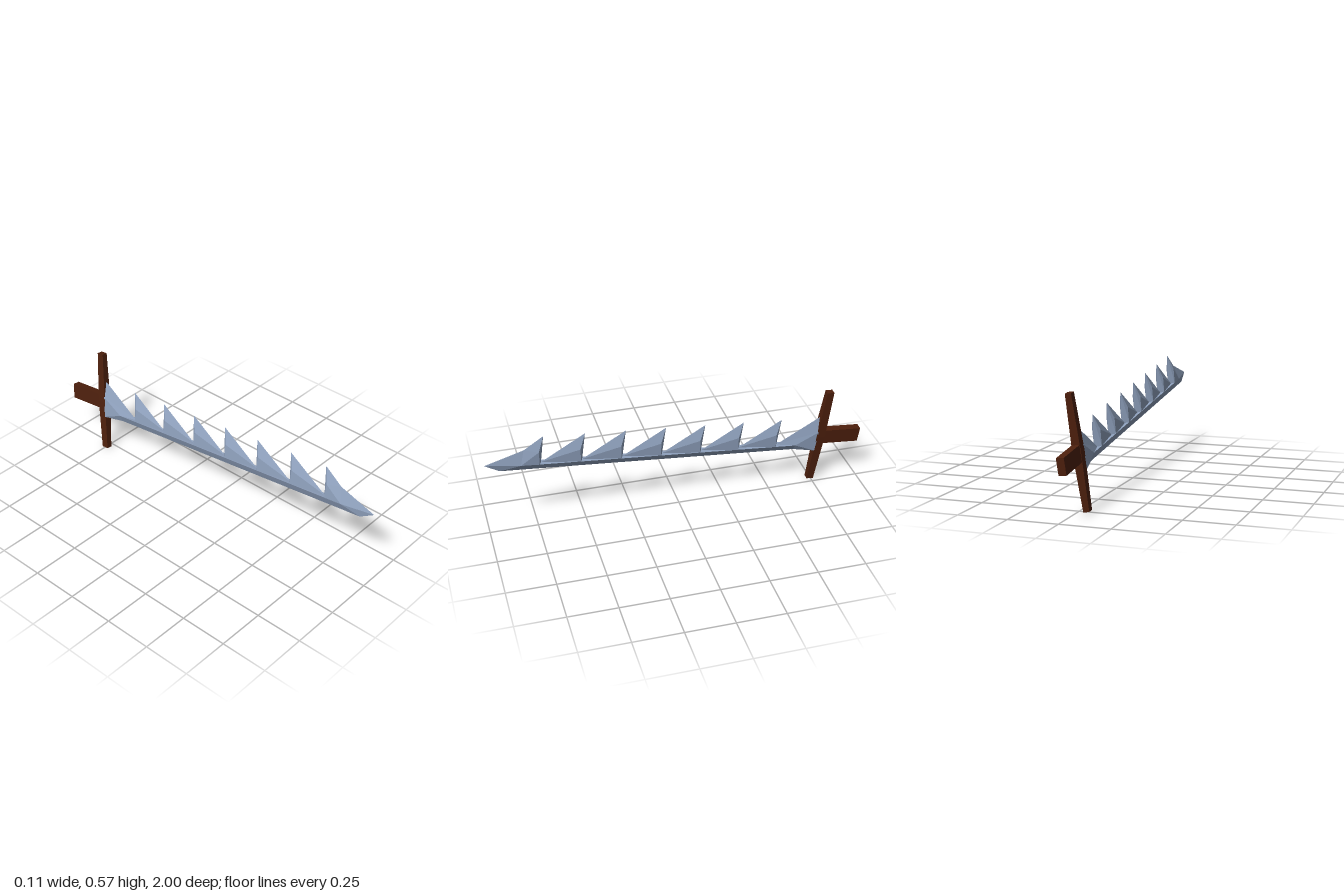
import * as THREE from 'three';

const steel = new THREE.MeshStandardMaterial({ color: 0x8fa1bd });
steel.name = 'blue grey steel';
const wood = new THREE.MeshStandardMaterial({ color: 0x4e200d });
wood.name = 'dark brown wood';

// Builds a flat-faceted mesh from polygons of the +x half, mirrored to -x
function mirroredMesh(name, faces, material) {
  const positions = [];
  for (const face of faces) {
    for (let i = 1; i < face.length - 1; i++) {
      const [a, b, c] = [face[0], face[i], face[i + 1]];
      positions.push(...a, ...b, ...c);
      for (const [x, y, z] of [a, c, b]) positions.push(-x, y, z);
    }
  }
  const geometry = new THREE.BufferGeometry();
  geometry.setAttribute('position', new THREE.Float32BufferAttribute(positions, 3));
  geometry.computeVertexNormals();
  const mesh = new THREE.Mesh(geometry, material);
  mesh.name = name;
  return mesh;
}

const LEDGE = -0.043, EDGE = -0.082; // heights of the tooth roots and the lower edge
const PITCH = 0.2097, FIRST = 1.496, TEETH = 7;

// Corner points of a tooth whose steep back stands at z
const toothPoints = (z) => ({
  peak: [0, 0.119, z],
  mid: [0.021, 0.035, z + 0.02],
  low: [0.02, LEDGE, z + 0.01],
  root: [0, LEDGE, z],
  toe: [0, LEDGE, z + PITCH],
});

function createBlade() {
  const blade = new THREE.Group();
  blade.name = 'blade';

  // Sharp keel running under all the teeth, pointed at the front
  const rear = [0.02, LEDGE, 0.136], front = [0.019, LEDGE, 1.6], tip = [0, LEDGE, 1.78];
  const edgeRear = [0, EDGE, 0.136], edgeFront = [0, EDGE, 1.7];
  blade.add(mirroredMesh('keel', [
    [rear, front, edgeFront, edgeRear],
    [front, tip, edgeFront],
    [[0, LEDGE, 0.136], [0, LEDGE, 1.6], front, rear],
  ], steel));

  // Saw teeth; the first one runs out into the tip
  for (let i = 0; i < TEETH; i++) {
    const { peak, mid, low, root, toe } = toothPoints(FIRST - i * PITCH);
    const back = [peak, mid, low, root];
    const ridge = [0, 0.039, 1.588];
    const sides = i === 0
      ? [[peak, ridge, mid], [mid, ridge, front], [mid, front, low], [ridge, tip, front]]
      : [[peak, toe, mid], [mid, toe, low]];
    blade.add(mirroredMesh(i === 0 ? 'tipTooth' : 'tooth', [back, ...sides], steel));
  }

  // Flared tooth that joins the guard
  const z = 0.018;
  const peak = [0, 0.123, z], mid = [0.021, 0.035, z], heel = [0.021, -0.086, z];
  const toe = [0, LEDGE, FIRST - (TEETH - 1) * PITCH];
  blade.add(mirroredMesh('baseTooth', [
    [peak, toe, mid],
    [mid, toe, rear],
    [mid, rear, heel],
    [rear, edgeRear, heel],
    [heel, edgeRear, [0, -0.086, z]],
  ], steel));
  return blade;
}

// Cross guard, thinner toward both ends
function createGuard() {
  let geometry = new THREE.BoxGeometry(0.043, 0.566, 0.047, 1, 2, 1);
  const p = geometry.attributes.position;
  for (let i = 0; i < p.count; i++) {
    if (Math.abs(p.getY(i)) > 0.1) {
      p.setX(i, p.getX(i) * 0.7);
      p.setZ(i, p.getZ(i) * 0.8);
    }
  }
  geometry = geometry.toNonIndexed();
  geometry.computeVertexNormals();
  const guard = new THREE.Mesh(geometry, wood);
  guard.name = 'crossGuard';
  return guard;
}

function createHandle() {
  const handle = new THREE.Mesh(new THREE.BoxGeometry(0.038, 0.083, 0.207), wood);
  handle.name = 'handle';
  handle.position.z = -0.1185;
  return handle;
}

export function createModel() {
  const sword = new THREE.Group();
  sword.name = 'sword';
  sword.add(createBlade(), createGuard(), createHandle());

  // Lean the whole sword: tip raised, rolled slightly to its left
  const forward = new THREE.Vector3(0.025, 0.105, 1).normalize();
  const side = new THREE.Vector3(0.11, 1, -0.105).cross(forward).normalize();
  const up = forward.clone().cross(side);
  sword.quaternion.setFromRotationMatrix(new THREE.Matrix4().makeBasis(side, up, forward));
  sword.position.set(-0.009, 0.285, -0.775);

  const model = new THREE.Group();
  model.name = 'serratedSword';
  model.add(sword);
  return model;
}
